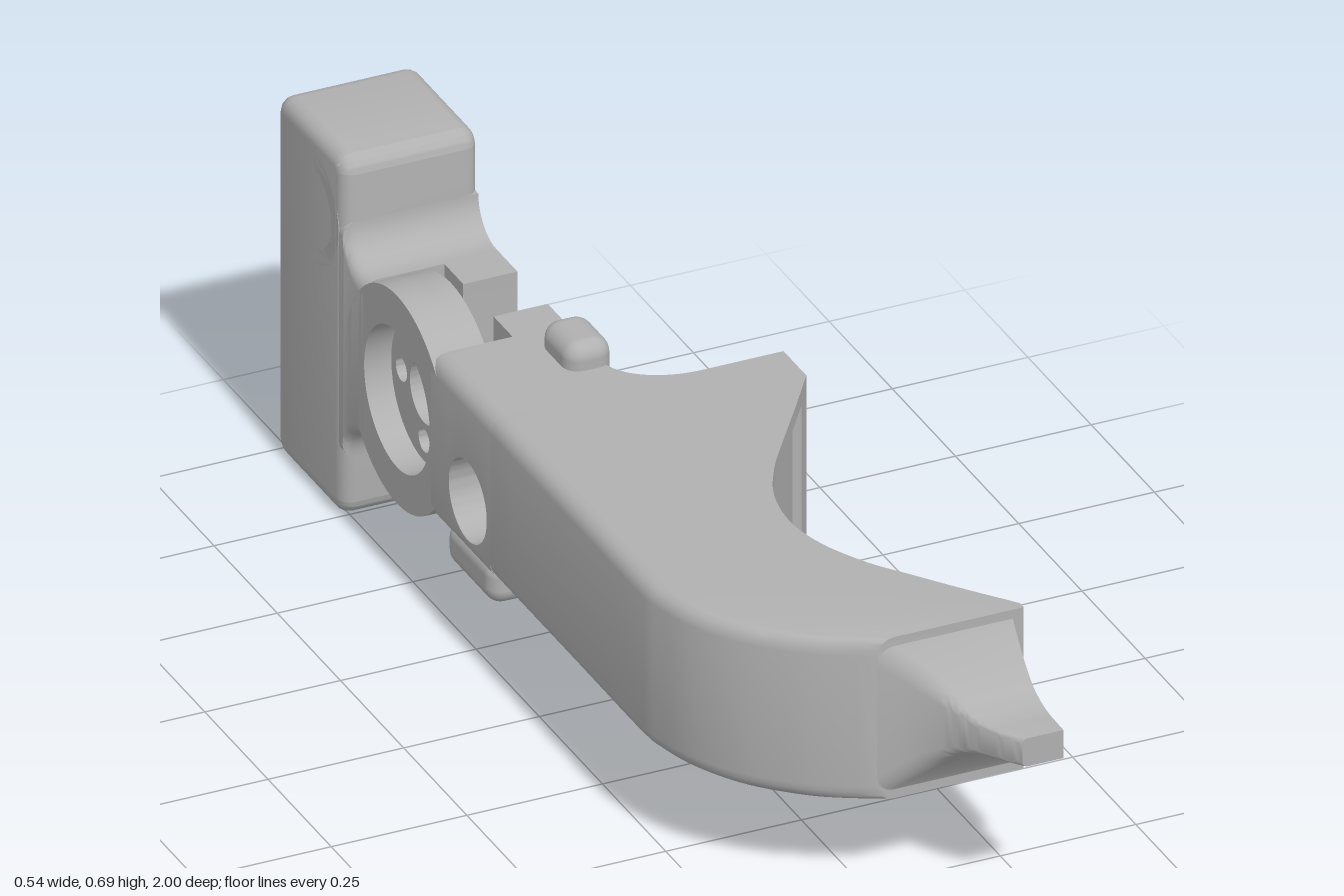
import * as THREE from 'three';
import { toCreasedNormals } from 'three/addons/utils/BufferGeometryUtils.js';
import { RoundedBoxGeometry } from 'three/addons/geometries/RoundedBoxGeometry.js';

const BACK = -0.27, FRONT = -0.02, MID = 0.345, HALF = 0.155;
const PIVOT = 0.52; // pivot centre, measured towards -z

// Smooth function of z through [z, value] points
function curve(points) {
  const p = new THREE.SplineCurve(points.map(([z, v]) => new THREE.Vector2(z, v))).getPoints(120);
  return (z) => {
    if (z <= p[0].x) return p[0].y;
    for (let i = 1; i < p.length; i++) {
      if (z <= p[i].x) {
        const t = (z - p[i - 1].x) / (p[i].x - p[i - 1].x || 1);
        return THREE.MathUtils.lerp(p[i - 1].y, p[i].y, t);
      }
    }
    return p[p.length - 1].y;
  };
}

// Box-like outline with rounded left corners and an optional recess on the right side
function outline(x0, x1, y0, y1, rBottom = 0, rTop = 0, recess = 0, rim = 0.01) {
  const pts = [];
  for (let i = 0; i <= 4; i++) {
    const a = (i / 4) * Math.PI / 2;
    pts.push([x0 + rTop * (1 - Math.sin(a)), y1 - rTop * (1 - Math.cos(a))]);
  }
  pts.reverse();
  const left = [];
  for (let i = 0; i <= 4; i++) {
    const a = (i / 4) * Math.PI / 2;
    left.push([x0 + rBottom * (1 - Math.cos(a)), y0 + rBottom * (1 - Math.sin(a))]);
  }
  const right = [[x1, y0], [x1, y0 + rim], [x1 - recess, y0 + rim],
    [x1 - recess, y1 - rim], [x1, y1 - rim], [x1, y1]];
  return [...left, ...right, ...pts.reverse()];
}

// Skin between outlines placed along z; each section is { z, pts }
function loftZ(sections) {
  const pos = [], idx = [], n = sections[0].pts.length;
  sections.forEach((s) => s.pts.forEach(([x, y]) => pos.push(x, y, s.z)));
  for (let i = 0; i < sections.length - 1; i++) {
    for (let j = 0; j < n; j++) {
      const a = i * n + j, b = i * n + (j + 1) % n;
      idx.push(a, b, b + n, a, b + n, a + n);
    }
  }
  [0, sections.length - 1].forEach((k) => {
    const flat = sections[k].pts.map(([x, y]) => new THREE.Vector2(x, y));
    for (const [a, b, c] of THREE.ShapeUtils.triangulateShape(flat, [])) {
      const o = k * n;
      if (k === 0) idx.push(o + a, o + c, o + b);
      else idx.push(o + a, o + b, o + c);
    }
  });
  const g = new THREE.BufferGeometry();
  g.setAttribute('position', new THREE.Float32BufferAttribute(pos, 3));
  g.setIndex(idx);
  return toCreasedNormals(g, 0.6);
}

// Extrude along x; the shape's horizontal axis is -z
function extrudeX(shape, x0, x1, bevel = 0) {
  const g = new THREE.ExtrudeGeometry(shape, {
    depth: x1 - x0 - 2 * bevel, curveSegments: 32, bevelEnabled: bevel > 0,
    bevelSize: bevel, bevelThickness: bevel, bevelOffset: -bevel, bevelSegments: 4,
  });
  g.translate(0, 0, x0 + bevel).rotateY(Math.PI / 2);
  return toCreasedNormals(g, 0.6);
}

const circle = (u, y, r, Type = THREE.Path) => new Type().absarc(u, y, r, 0, Math.PI * 2, false);

function ring(u, y, rOuter, holes) {
  const s = circle(u, y, rOuter, THREE.Shape);
  s.holes.push(...holes);
  return s;
}

function roundedRect(u0, u1, y0, y1, r) {
  const s = new THREE.Shape();
  s.absarc(u1 - r, y0 + r, r, -Math.PI / 2, 0);
  s.absarc(u1 - r, y1 - r, r, 0, Math.PI / 2);
  s.absarc(u0 + r, y1 - r, r, Math.PI / 2, Math.PI);
  s.absarc(u0 + r, y0 + r, r, Math.PI, Math.PI * 1.5);
  return s;
}

const range = (a, b, n) => Array.from({ length: n + 1 }, (_, i) => a + (b - a) * i / n);

export function createModel() {
  const group = new THREE.Group();
  const grey = new THREE.MeshStandardMaterial({ color: 0xb0b0b0 });
  grey.name = 'plain grey';
  const add = (name, geometry) => {
    const m = new THREE.Mesh(geometry, grey);
    m.name = name;
    group.add(m);
    return m;
  };

  // Curved lever body with a recessed finger face
  const outer = curve([[-0.15, BACK], [0.2, BACK], [0.43, BACK], [0.5, -0.262], [0.58, -0.238], [0.66, -0.19],
    [0.73, -0.12], [0.77, -0.06], [0.8, 0.0], [0.83, 0.052], [0.87, 0.095], [0.92, 0.125], [0.97, 0.153], [1, 0.175]]);
  const inner = curve([[-0.06, 0.27], [0.03, 0.208], [0.13, 0.137], [0.2, 0.09], [0.28, 0.052], [0.37, 0.038],
    [0.46, 0.053], [0.55, 0.095], [0.62, 0.145], [0.7, 0.204], [0.785, 0.27]]);
  const bodySection = (z, recess) => ({
    z, pts: outline(outer(z), inner(z), MID - HALF, MID + HALF, 0.03, 0.03, recess, 0.03),
  });
  add('leverBody', loftZ([
    bodySection(-0.15, 0), bodySection(-0.06, 0), bodySection(-0.02, 0),
    ...range(-0.0199, 0.785, 64).map((z) => bodySection(z, 0.017)),
    bodySection(0.7851, 0), bodySection(0.8, 0),
  ]));

  // Thin flared tip
  const tipHalf = curve([[0.79, HALF], [0.805, 0.13], [0.83, 0.098], [0.86, 0.066], [0.89, 0.044],
    [0.93, 0.031], [0.97, 0.028], [1, 0.027]]);
  add('leverTip', loftZ(range(0.79, 1, 30).map((z) => {
    const h = tipHalf(z), r = Math.min(0.03, h * 0.35);
    return { z, pts: outline(outer(z), 0.25, MID - h, MID + h, r, r) };
  })));

  // Root of the lever: filleted wall around a cross hole
  const wall = (z) => {
    const t = THREE.MathUtils.clamp((z + 0.25) / 0.1, 0, 1);
    return FRONT + 0.14 * (1 - Math.sqrt(1 - t * t));
  };
  const holeZ = -0.24, holeY = 0.295, holeR = 0.075;
  const zs = [-0.385, ...range(0, Math.PI, 32).map((a) => holeZ - holeR * Math.cos(a)),
    -0.161, -0.157, -0.154, -0.152, -0.1505, -0.15];
  const gap = (z) => Math.sqrt(Math.max(0, holeR ** 2 - (z - holeZ) ** 2));
  add('rootUpper', loftZ(zs.map((z) => ({
    z, pts: outline(BACK, wall(z), holeY + gap(z), MID + HALF, 0, 0.03),
  }))));
  add('rootLower', loftZ(zs.map((z) => ({
    z, pts: outline(BACK, wall(z), MID - HALF, holeY - gap(z), 0.025, 0),
  }))));

  // Raised lugs above and below the root
  add('lowerLug', new RoundedBoxGeometry(0.275, 0.083, 0.19, 4, 0.03)).position.set(-0.1325, 0.1745, -0.24);
  add('upperLug', new RoundedBoxGeometry(0.085, 0.13, 0.12, 4, 0.03)).position.set(-0.0455, 0.482, -0.29);

  // Neck flaring into the end block
  const flare = 0.07;
  add('neck', loftZ([-0.75, ...range(0, Math.PI / 2, 10).map((a) => -0.735 + flare * (1 - Math.cos(a))), -0.655]
    .map((z) => {
      const t = THREE.MathUtils.clamp((z + 0.735) / flare, 0, 1);
      const h = HALF + flare * (1 - Math.sqrt(1 - (1 - t) ** 2));
      return { z, pts: outline(BACK, FRONT, MID - h, MID + h, 0.025, 0.025) };
    })));

  // Pivot disc: drilled web plus rim around the back recess
  const drill = (angles) => angles.map((a) =>
    circle(PIVOT + 0.09 * Math.cos(a), MID + 0.09 * Math.sin(a), 0.022));
  const H = Math.PI / 2;
  add('pivotWeb', extrudeX(ring(PIVOT, MID, 0.2, [circle(PIVOT, MID, 0.056), ...drill([0, H, 2 * H, 3 * H])]), -0.22, -0.17));
  add('pivotRim', extrudeX(ring(PIVOT, MID, 0.2, [circle(PIVOT, MID, 0.13)]), BACK, -0.22));

  // Front cheek with a round-bottomed notch and small holes
  const cheek = new THREE.Shape();
  cheek.moveTo(0.385, MID - HALF);
  cheek.lineTo(0.655, MID - HALF);
  cheek.lineTo(0.655, MID + HALF);
  cheek.lineTo(PIVOT + 0.06, MID + HALF);
  cheek.absarc(PIVOT, MID, 0.06, 0, Math.PI, true);
  cheek.lineTo(PIVOT - 0.06, MID + HALF);
  cheek.lineTo(0.385, MID + HALF);
  cheek.holes.push(...drill([0, 2 * H, 3 * H]));
  add('frontCheek', extrudeX(cheek, -0.12, FRONT));

  // End block with a straight cross hole
  const block = roundedRect(0.735, 1, 0, 0.69, 0.035);
  block.holes.push(circle(0.855, 0.545, 0.078));
  add('endBlock', extrudeX(block, BACK, FRONT + 0.003, 0.025));
  add('endBlockBore', extrudeX(ring(0.855, 0.545, 0.104, [circle(0.855, 0.545, 0.075)]), BACK, FRONT + 0.003));

  return group;
}
